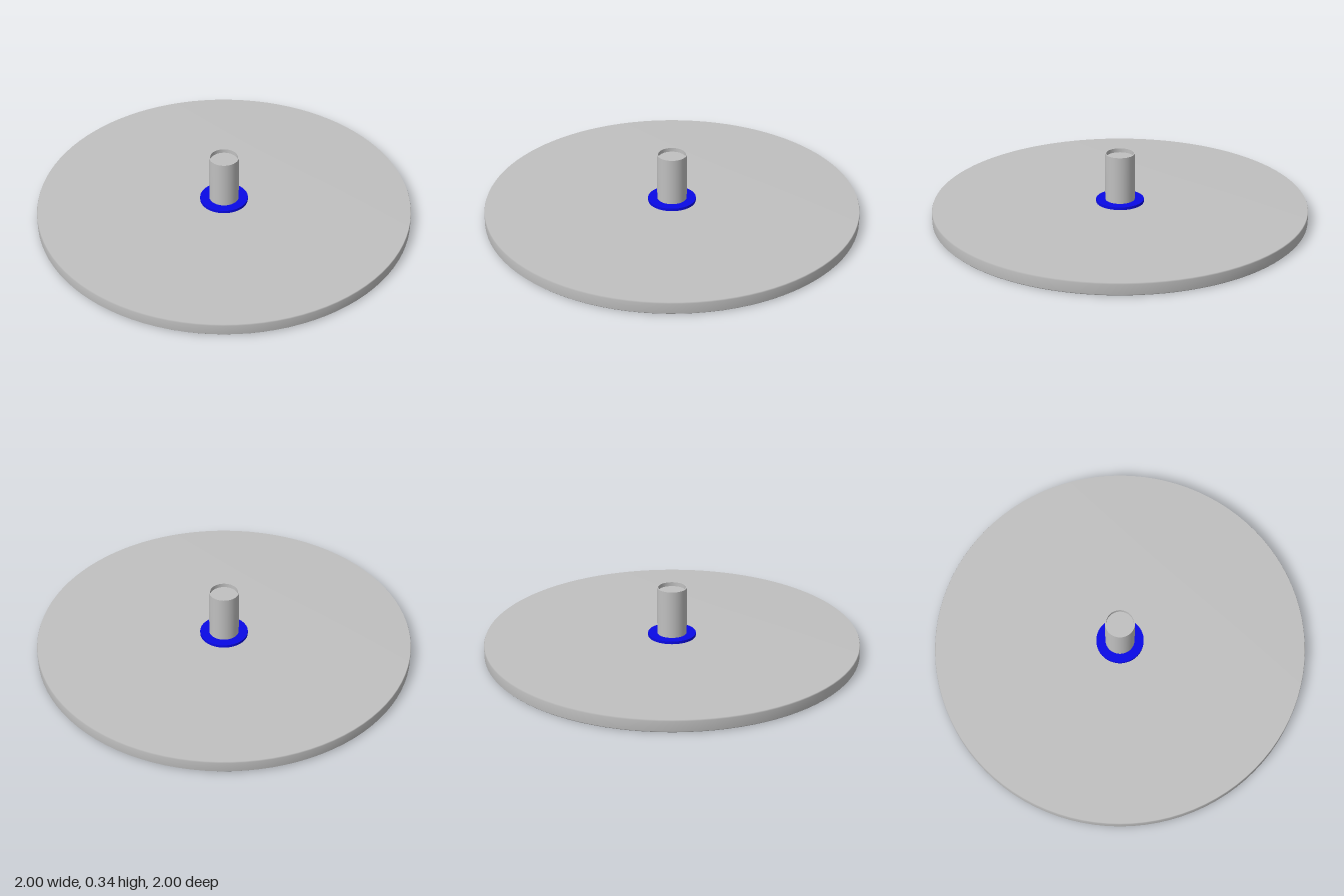
import * as THREE from 'three';
import { mergeVertices } from 'three/addons/utils/BufferGeometryUtils.js';

const steel = new THREE.MeshStandardMaterial({ color: 0xc0c0c0 });
steel.name = 'light grey';
const blue = new THREE.MeshStandardMaterial({ color: 0x0a0ae6 });
blue.name = 'blue';

const lathe = (points, segments) =>
  new THREE.LatheGeometry(points.map(([r, y]) => new THREE.Vector2(r, y)), segments);

// Shares vertices across edges so the shading runs softly over the rim
function soften(geometry) {
  geometry.deleteAttribute('normal');
  geometry.deleteAttribute('uv');
  const merged = mergeVertices(geometry, 1e-4);
  merged.computeVertexNormals();
  return merged;
}

function addPart(group, name, geometry, material) {
  const mesh = new THREE.Mesh(geometry, material);
  mesh.name = name;
  group.add(mesh);
}

export function createModel() {
  const group = new THREE.Group();
  group.name = 'discWithSpindle';

  // Broad disc with a slightly eased edge
  const disc = lathe([[0, 0], [0.993, 0], [1, 0.007], [1, 0.06], [0.997, 0.067], [0, 0.067]], 96);
  addPart(group, 'disc', soften(disc), steel);

  // Thin flat ring around the foot of the spindle
  const ring = lathe([[0.075, 0.067], [0.128, 0.067], [0.128, 0.082], [0.075, 0.082], [0.075, 0.067]], 48);
  addPart(group, 'collarRing', ring.toNonIndexed(), blue);
  group.children[1].geometry.computeVertexNormals();

  // Spindle wall, thin rim and recessed end
  const wall = new THREE.CylinderGeometry(0.079, 0.079, 0.275, 40, 1, true);
  wall.translate(0, 0.2025, 0);
  addPart(group, 'spindleWall', wall, steel);
  addPart(group, 'spindleRim', lathe([[0.079, 0.34], [0.073, 0.34]], 40), steel);
  addPart(group, 'spindleBore', lathe([[0.073, 0.34], [0.073, 0.318]], 40), steel);
  const end = new THREE.CircleGeometry(0.073, 40);
  end.rotateX(-Math.PI / 2).translate(0, 0.318, 0);
  addPart(group, 'spindleEnd', end, steel);

  return group;
}
